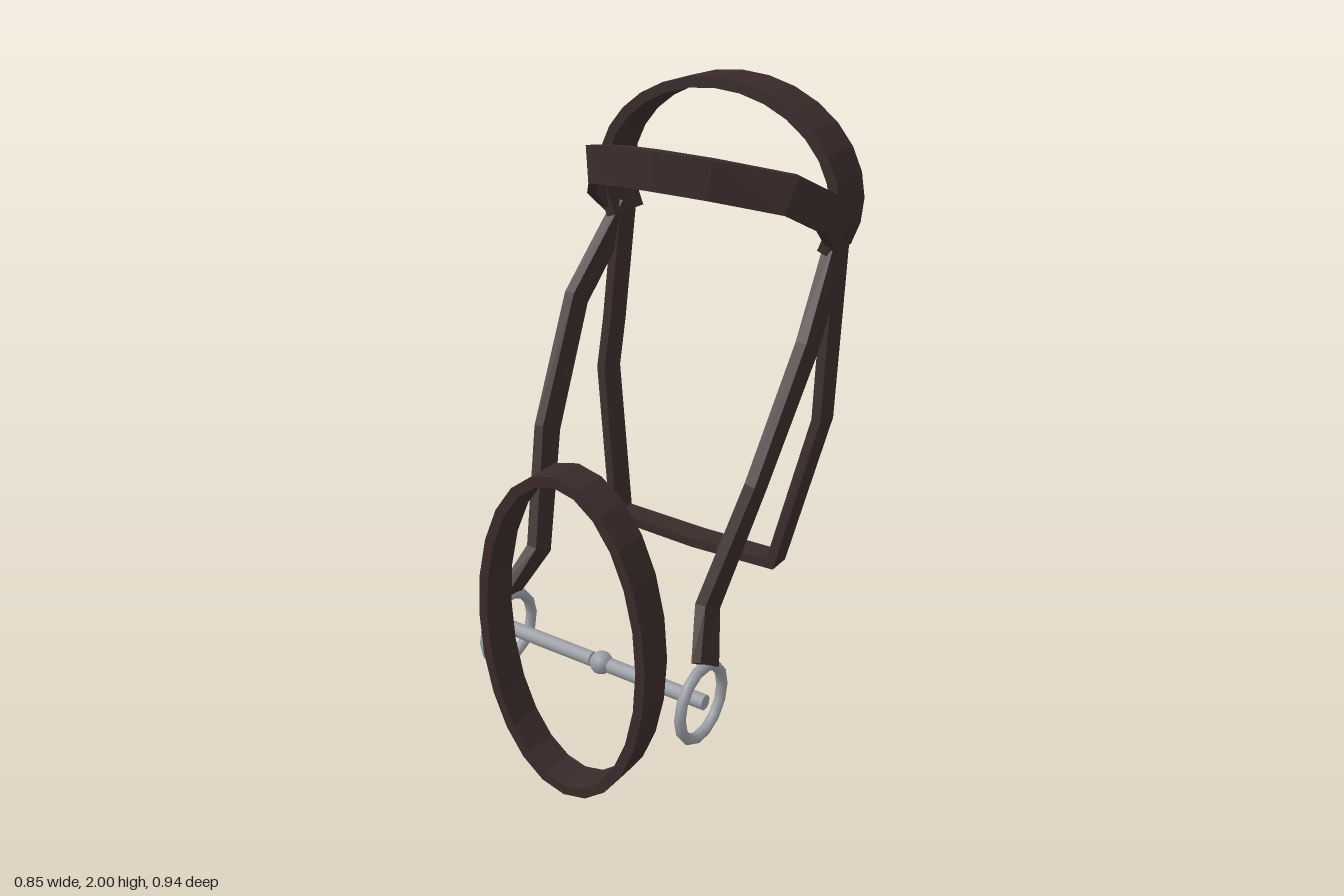
import * as THREE from 'three';

const leather = new THREE.MeshStandardMaterial({ color: 0x3b2b2b });
leather.name = 'dark leather';
leather.flatShading = true;
const steel = new THREE.MeshStandardMaterial({ color: 0x9a9da3 });
steel.name = 'steel';

const V = (x, y, z) => new THREE.Vector3(x, y, z);

// Sweeps a flat strap along points; its width leans toward widthHint, corners are mitred.
function strap(name, points, width, thickness, widthHint, closed = false) {
  const n = points.length;
  const sections = points.map((p, i) => {
    const prev = closed ? points[(i + n - 1) % n] : points[Math.max(i - 1, 0)];
    const next = closed ? points[(i + 1) % n] : points[Math.min(i + 1, n - 1)];
    const a = p.clone().sub(prev).normalize();
    const b = next.clone().sub(p).normalize();
    const t = a.clone().add(b).normalize();
    const w = widthHint.clone().addScaledVector(t, -widthHint.dot(t)).normalize();
    const side = t.clone().cross(w);
    // widen at bends so the strap keeps its gauge
    const turn = b.clone().sub(a);
    const cos = Math.max(0.6, a.lengthSq() && b.lengthSq() ? t.dot(b) : 1);
    const inSide = turn.lengthSq() ? Math.abs(turn.normalize().dot(side)) : 0;
    const hs = thickness / 2 * (1 + (1 / cos - 1) * inSide);
    const hw = width / 2 * (1 + (1 / cos - 1) * (1 - inSide));
    return [[1, -1], [1, 1], [-1, 1], [-1, -1]].map(([u, v]) =>
      p.clone().addScaledVector(w, u * hw).addScaledVector(side, v * hs));
  });
  const pos = [];
  const quad = (a, b, c, d) => [a, b, c, a, c, d].forEach((q) => pos.push(q.x, q.y, q.z));
  for (let i = 0; i < (closed ? n : n - 1); i++) {
    const s = sections[i], e = sections[(i + 1) % n];
    for (let k = 0; k < 4; k++) quad(s[k], s[(k + 1) % 4], e[(k + 1) % 4], e[k]);
  }
  if (!closed) {
    const s = sections[0], e = sections[n - 1];
    quad(s[3], s[2], s[1], s[0]);
    quad(e[0], e[1], e[2], e[3]);
  }
  const geometry = new THREE.BufferGeometry();
  geometry.setAttribute('position', new THREE.Float32BufferAttribute(pos, 3));
  geometry.computeVertexNormals();
  const mesh = new THREE.Mesh(geometry, leather);
  mesh.name = name;
  return mesh;
}

// Points of an ellipse arc in a plane facing the front.
function ellipse(cy, z, rx, ry, from, to, count) {
  return Array.from({ length: count }, (_, i) => {
    const a = from + (to - from) * i / (count - 1);
    return V(rx * Math.cos(a), cy + ry * Math.sin(a), z);
  });
}

// Continues a half path (ending on the centre line) to the other side.
const mirrored = (half) => [...half,
  ...half.slice(0, -1).reverse().map((p) => V(-p.x, p.y, p.z))];

export function createModel() {
  const model = new THREE.Group();
  model.name = 'bridle';
  const alongZ = V(0, 0, 1);

  // Noseband: closed oval loop
  const oval = ellipse(0.528, 0.415, 0.28, 0.508, 0, Math.PI * 2, 25).slice(0, -1);
  model.add(strap('noseband', oval, 0.11, 0.031, alongZ, true));

  // Crownpiece: arch over the poll
  model.add(strap('crownpiece',
    ellipse(1.67, -0.388, 0.4, 0.315, -0.41, Math.PI + 0.41, 19), 0.155, 0.031, alongZ));

  // Browband
  model.add(strap('browband', mirrored([
    V(0.385, 1.59, -0.37), V(0.4, 1.67, -0.28), V(0.335, 1.735, -0.175),
    V(0.15, 1.775, -0.06), V(0, 1.786, -0.025)]), 0.112, 0.03, V(0, 1, 0)));

  // Throatlatch
  model.add(strap('throatlatch', mirrored([
    V(0.375, 1.57, -0.395), V(0.385, 1.2, -0.347), V(0.392, 1.04, -0.322),
    V(0.295, 0.567, -0.247), V(0, 0.547, -0.265)]), 0.085, 0.03, alongZ));

  for (const s of [1, -1]) {
    const side = s > 0 ? 'left' : 'right';
    // Cheekpiece
    model.add(strap(side + 'Cheekpiece', [
      V(0.375 * s, 1.56, -0.39), V(0.405 * s, 1.31, -0.175), V(0.372 * s, 0.95, 0.03),
      V(0.308 * s, 0.61, 0.17), V(0.36 * s, 0.48, 0.262)], 0.085, 0.034, alongZ));

    // Bit ring
    const ring = new THREE.Mesh(new THREE.TorusGeometry(0.112, 0.017, 8, 14), steel);
    ring.name = side + 'BitRing';
    ring.rotation.y = Math.PI / 2;
    ring.position.set(0.356 * s, 0.36, 0.273);
    model.add(ring);

    // Mouthpiece bar
    const bar = new THREE.Mesh(new THREE.CylinderGeometry(0.023, 0.023, 0.335, 12), steel);
    bar.name = side + 'BitBar';
    bar.rotation.z = Math.PI / 2;
    bar.position.set(0.2 * s, 0.36, 0.27);
    model.add(bar);
  }

  // Mouthpiece joint
  const joint = new THREE.Mesh(new THREE.SphereGeometry(0.036, 10, 8), steel);
  joint.name = 'bitJoint';
  joint.position.set(0, 0.36, 0.27);
  model.add(joint);
  return model;
}
